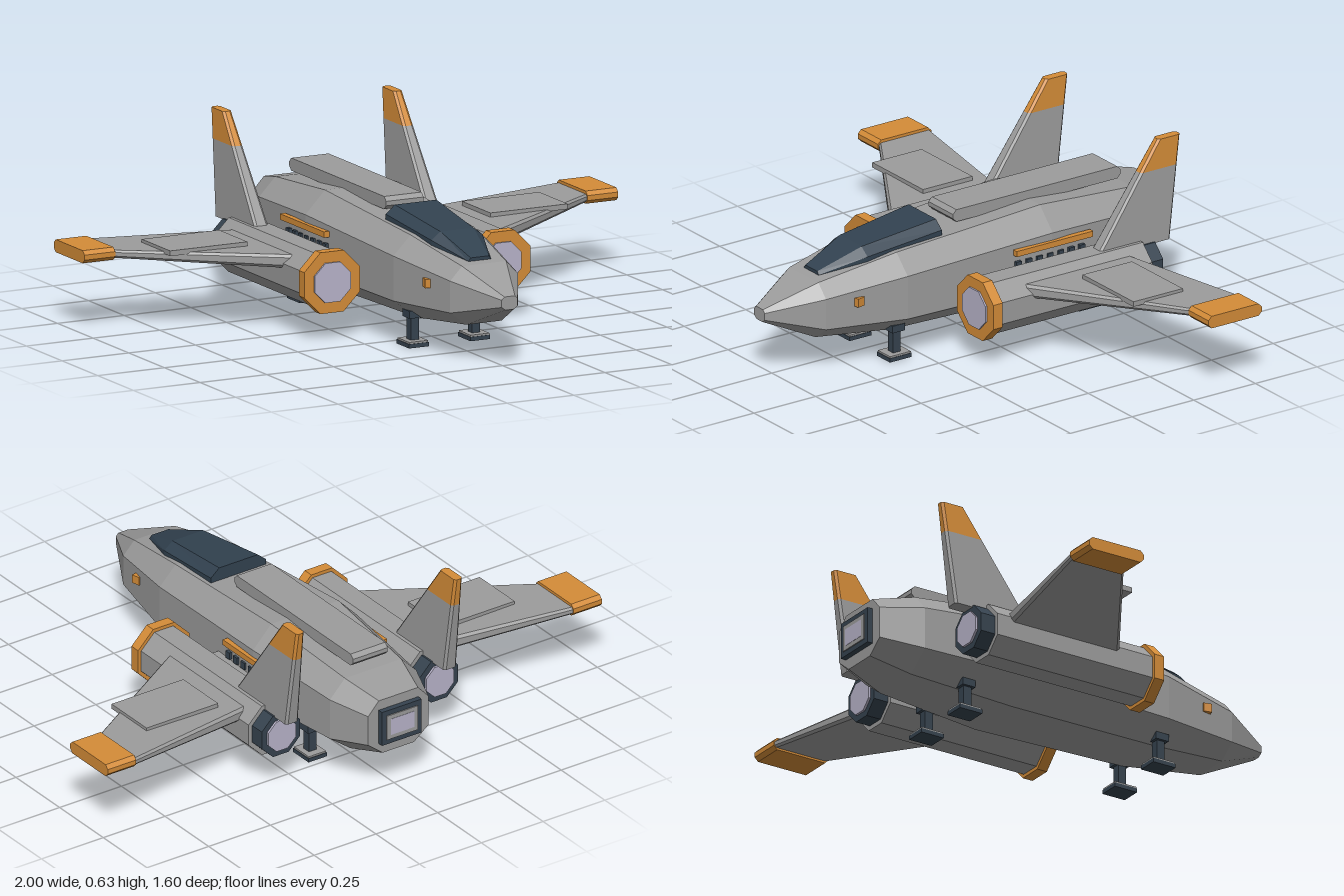
import * as THREE from 'three';

const mat = (name, color) => {
  const m = new THREE.MeshStandardMaterial({ color });
  m.name = name;
  m.flatShading = true;
  return m;
};

// Skin a list of equal-length convex rings, cap both ends, faces turned outward
function loft(rings) {
  const n = rings[0].length, tris = [];
  for (let i = 0; i < rings.length - 1; i++) {
    for (let j = 0; j < n; j++) {
      const k = (j + 1) % n, a = rings[i], b = rings[i + 1];
      tris.push([a[j], a[k], b[k]], [a[j], b[k], b[j]]);
    }
  }
  const first = rings[0], last = rings[rings.length - 1];
  for (let j = 1; j < n - 1; j++) {
    tris.push([first[0], first[j + 1], first[j]], [last[0], last[j], last[j + 1]]);
  }
  let volume = 0;
  for (const [a, b, c] of tris) volume += a.dot(b.clone().cross(c));
  const pos = [];
  for (const [a, b, c] of tris) {
    for (const v of volume < 0 ? [a, c, b] : [a, b, c]) pos.push(v.x, v.y, v.z);
  }
  const g = new THREE.BufferGeometry();
  g.setAttribute('position', new THREE.Float32BufferAttribute(pos, 3));
  g.computeVertexNormals();
  return g;
}

// Rectangle with cut corners, as [u, v] pairs
const chamfered = (u0, u1, v0, v1, c) => [
  [u0 + c, v0], [u1 - c, v0], [u1, v0 + c], [u1, v1 - c],
  [u1 - c, v1], [u0 + c, v1], [u0, v1 - c], [u0, v0 + c],
];
const V = (x, y, z) => new THREE.Vector3(x, y, z);

export function createModel() {
  const grey = mat('hull grey', 0x9c9c9c);
  const orange = mat('trim orange', 0xd48c38);
  const dark = mat('dark metal', 0x36434f);
  const glass = mat('canopy glass', 0x324250);
  const lilac = mat('engine glow', 0xb8b4ca);

  const model = new THREE.Group();
  model.name = 'spacecraft';
  const add = (name, geometry, material, x = 0, y = 0, z = 0) => {
    const m = new THREE.Mesh(geometry, material);
    m.name = name;
    m.position.set(x, y, z);
    model.add(m);
    return m;
  };
  const box = (name, w, h, d, material, x, y, z) =>
    add(name, new THREE.BoxGeometry(w, h, d), material, x, y, z);

  // Fuselage: z, half width, bottom, top
  const hull = [
    [0.8, 0.03, 0.2, 0.245], [0.62, 0.127, 0.12, 0.32], [0.33, 0.185, 0.09, 0.372],
    [-0.24, 0.21, 0.08, 0.412], [-0.63, 0.175, 0.105, 0.377], [-0.775, 0.122, 0.145, 0.346],
  ];
  add('fuselage', loft(hull.map(([z, w, y0, y1]) => {
    const d = 0.23 * (y1 - y0);
    return [
      [-0.52 * w, y0], [0.52 * w, y0], [w, y0 + d], [w, y1 - d],
      [0.65 * w, y1], [-0.65 * w, y1], [-w, y1 - d], [-w, y0 + d],
    ].map(([x, y]) => V(x, y, z));
  })), grey);

  // Canopy: z, bottom half width, top half width, bottom, top
  const canopy = [
    [0.14, 0.112, 0.078, 0.375, 0.432], [0.43, 0.096, 0.062, 0.345, 0.397],
    [0.59, 0.042, 0.034, 0.315, 0.337],
  ];
  add('canopy', loft(canopy.map(([z, w, t, y0, y1]) => [
    V(-w, y0, z), V(w, y0, z), V(w, y0 + 0.5 * (y1 - y0), z),
    V(t, y1, z), V(-t, y1, z), V(-w, y0 + 0.5 * (y1 - y0), z),
  ])), glass);

  // Dorsal spine
  add('dorsalSpine', loft([-0.07, 0.07].map((x) =>
    chamfered(-0.615, 0.065, 0.398, 0.441, 0.014).map(([z, y]) => V(x, y, z)))), grey);

  // Tail exhaust: dark frame, grey recess, glowing plate
  box('tailExhaustFrame', 0.16, 0.126, 0.03, dark, 0, 0.248, -0.78);
  box('tailExhaustPlate', 0.125, 0.09, 0.006, grey, 0, 0.248, -0.796);
  box('tailExhaustGlow', 0.095, 0.06, 0.004, lilac, 0, 0.248, -0.798);

  // Octagonal drum lying along z with flats up, down and sideways
  const drum = (name, apothem, z0, z1, material, x) => {
    const r = apothem / Math.cos(Math.PI / 8);
    const g = new THREE.CylinderGeometry(r, r, z1 - z0, 8);
    g.rotateY(Math.PI / 8).rotateX(Math.PI / 2);
    return add(name, g, material, x, 0.198, (z0 + z1) / 2);
  };

  for (const s of [1, -1]) {
    const side = s > 0 ? 'left' : 'right';

    // Engine nacelle
    const nx = s * 0.32;
    drum(side + 'Nacelle', 0.092, -0.5, 0.12, grey, nx);
    drum(side + 'IntakeRing', 0.104, 0.115, 0.153, orange, nx);
    drum(side + 'IntakeDisc', 0.067, 0.15, 0.159, lilac, nx);
    drum(side + 'Nozzle', 0.077, -0.555, -0.49, dark, nx);
    drum(side + 'NozzleGlow', 0.056, -0.563, -0.55, lilac, nx);
    box(side + 'Pylon', 0.06, 0.06, 0.34, grey, s * 0.215, 0.205, -0.2);

    // Wing and coloured tip: x, front z, back z, bottom, top
    const wingRing = ([x, zf, zb, y0, y1, c]) =>
      chamfered(zb, zf, y0, y1, c).map(([z, y]) => V(s * x, y, z));
    add(side + 'Wing', loft([
      [0.34, 0.028, -0.432, 0.217, 0.265, 0.01], [0.886, -0.315, -0.523, 0.246, 0.272, 0.007],
    ].map(wingRing)), grey);
    add(side + 'WingTip', loft([
      [0.885, -0.31, -0.526, 0.239, 0.282, 0.013], [1, -0.31, -0.526, 0.239, 0.282, 0.013],
    ].map(wingRing)), orange);
    box(side + 'WingPanel', 0.29, 0.018, 0.2, grey, s * 0.6, 0.272, -0.287);

    // Tail fin, split at the colour line: y, front z, back z, half thickness
    const finRing = ([y, zf, zb, t]) =>
      chamfered(-t, t, zb, zf, 0.008).map(([x, z]) => V(nx + s * x, y, z));
    const base = [0.27, -0.325, -0.622, 0.026];
    const line = [0.527, -0.507, -0.656, 0.019];
    const top = [0.63, -0.58, -0.67, 0.016];
    add(side + 'Fin', loft([base, line].map(finRing)), grey);
    add(side + 'FinTip', loft([line, top].map(finRing)), orange);

    // Side stripe, vents and nose marker
    box(side + 'Stripe', 0.02, 0.02, 0.31, orange, s * 0.213, 0.3, -0.24);
    for (let i = 0; i < 7; i++) {
      box(side + 'Vent', 0.012, 0.025, 0.022, dark, s * 0.209, 0.255, -0.1 - i * 0.043);
    }
    box(side + 'NoseMarker', 0.02, 0.03, 0.03, orange, s * 0.152, 0.248, 0.503)
      .rotation.y = s * 0.2;

    // Landing legs
    for (const z of [0.335, -0.432]) {
      box(side + 'LegMount', 0.05, 0.025, 0.05, dark, s * 0.115, 0.108, z);
      box(side + 'LegStrut', 0.03, 0.09, 0.03, dark, s * 0.115, 0.06, z);
      box(side + 'Foot', 0.074, 0.014, 0.088, dark, s * 0.115, 0.007, z);
      box(side + 'FootPlate', 0.07, 0.006, 0.084, grey, s * 0.115, 0.017, z);
    }
  }
  return model;
}
